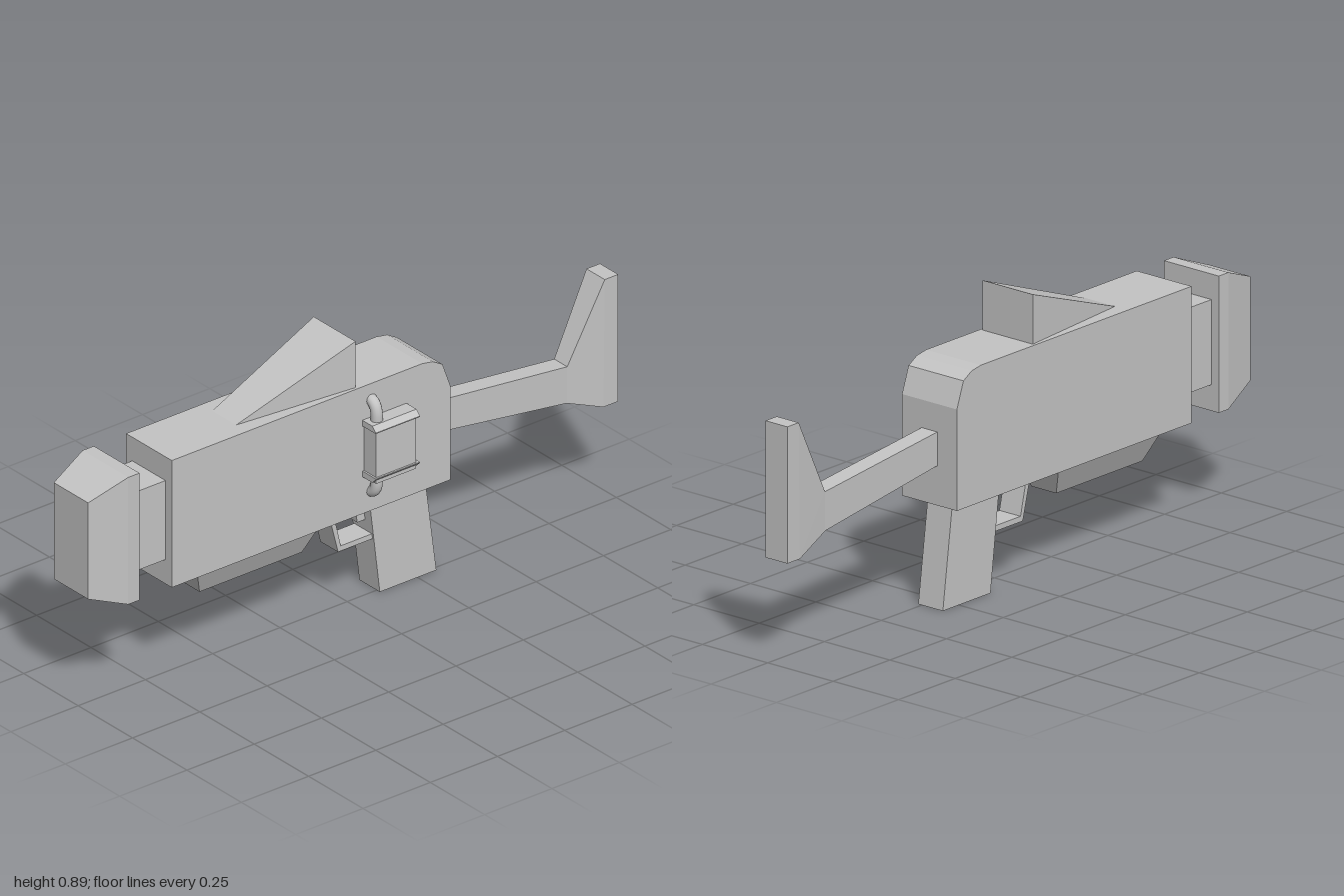
import * as THREE from 'three';
import { ConvexGeometry } from 'three/addons/geometries/ConvexGeometry.js';

const CX = -0.033; // centre plane of the main body

export function createModel() {
  const model = new THREE.Group();
  model.name = 'blaster';
  const grey = new THREE.MeshStandardMaterial({ color: 0xc4c4c4 });
  grey.name = 'plain grey';

  const add = (name, geometry, parent = model) => {
    const mesh = new THREE.Mesh(geometry, grey);
    mesh.name = name;
    parent.add(mesh);
    return mesh;
  };

  // Side outline of [z, y] points, extruded across x about the centre plane
  const slab = (name, width, points, cx = CX) => {
    const shape = new THREE.Shape(points.map(([z, y]) => new THREE.Vector2(z, y)));
    const g = new THREE.ExtrudeGeometry(shape, { depth: width, bevelEnabled: false });
    g.rotateY(-Math.PI / 2).translate(cx + width / 2, 0, 0);
    return add(name, g);
  };

  // Convex solid from [z, y, halfWidth] points mirrored about the centre plane
  const solid = (name, points) => add(name, new ConvexGeometry(points.flatMap(([z, y, h]) => [
    new THREE.Vector3(CX - h, y, z), new THREE.Vector3(CX + h, y, z),
  ])));

  const box = (name, x0, x1, y0, y1, z0, z1, parent) => add(name,
    new THREE.BoxGeometry(x1 - x0, y1 - y0, z1 - z0)
      .translate((x0 + x1) / 2, (y0 + y1) / 2, (z0 + z1) / 2), parent);

  // Receiver, barrel neck and bevelled muzzle
  slab('receiver', 0.21, [[0.71, 0.32], [0.71, 0.738], [-0.22, 0.738], [-0.26, 0.731],
    [-0.296, 0.71], [-0.325, 0.63], [-0.325, 0.32]]);
  box('barrelNeck', -0.11, 0.043, 0.4, 0.66, 0.7, 0.84);
  solid('muzzle', [[0.83, 0.32, 0.105], [0.83, 0.738, 0.105], [0.872, 0.32, 0.105],
    [0.872, 0.738, 0.105], [1, 0.37, 0.079], [1, 0.687, 0.079]]);

  // Wedge sight and tapered underside housing
  solid('sight', [[0.02, 0.738, 0.096], [0.02, 0.89, 0.096], [0.43, 0.738, 0.055]]);
  solid('lowerHousing', [[0.6, 0.32, 0.086], [0.145, 0.32, 0.086],
    [0.56, 0.23, 0.047], [0.18, 0.23, 0.047]]);

  // Grip, trigger and guard
  slab('grip', 0.094, [[-0.07, 0.325], [-0.11, 0], [-0.32, 0], [-0.277, 0.325]]);
  slab('trigger', 0.03, [[-0.038, 0.325], [-0.052, 0.235], [-0.082, 0.235], [-0.07, 0.325]]);
  slab('triggerGuard', 0.081, [[0.077, 0.325], [0.04, 0.18], [-0.1, 0.18],
    [-0.1, 0.197], [0.03, 0.197], [0.06, 0.325]]);

  // Stock
  slab('stockArm', 0.06, [[-0.32, 0.545], [-0.825, 0.49], [-0.825, 0.37], [-0.32, 0.442]]);
  solid('stockButt', [[-0.82, 0.49, 0.03], [-0.82, 0.37, 0.03], [-0.95, 0.738, 0.042],
    [-0.945, 0.32, 0.042], [-1, 0.738, 0.042], [-1, 0.32, 0.042]]);

  // Side canister with sloped caps and curved pipes
  const canister = new THREE.Group();
  canister.name = 'sideCanister';
  model.add(canister);
  box('canisterBody', 0.065, 0.128, 0.44, 0.616, -0.153, -0.004, canister);
  for (const s of [1, -1]) {
    const y = (d) => 0.53 * 1 + 0.005 + s * d;
    const cap = [];
    for (const z of [0.002, -0.162]) {
      for (const [x, d] of [[0.065, 0.074], [0.065, 0.093], [0.118, 0.093], [0.134, 0.077], [0.134, 0.074]]) {
        cap.push(new THREE.Vector3(x, y(d), z));
      }
    }
    add(s > 0 ? 'upperCap' : 'lowerCap', new ConvexGeometry(cap), canister);
    const path = new THREE.CatmullRomCurve3([[0.06, 0.15], [0.075, 0.149], [0.088, 0.138],
      [0.095, 0.118], [0.096, 0.085]].map(([x, d]) => new THREE.Vector3(x, y(d), -0.032)));
    add(s > 0 ? 'upperPipe' : 'lowerPipe', new THREE.TubeGeometry(path, 14, 0.018, 14), canister);
  }
  return model;
}
